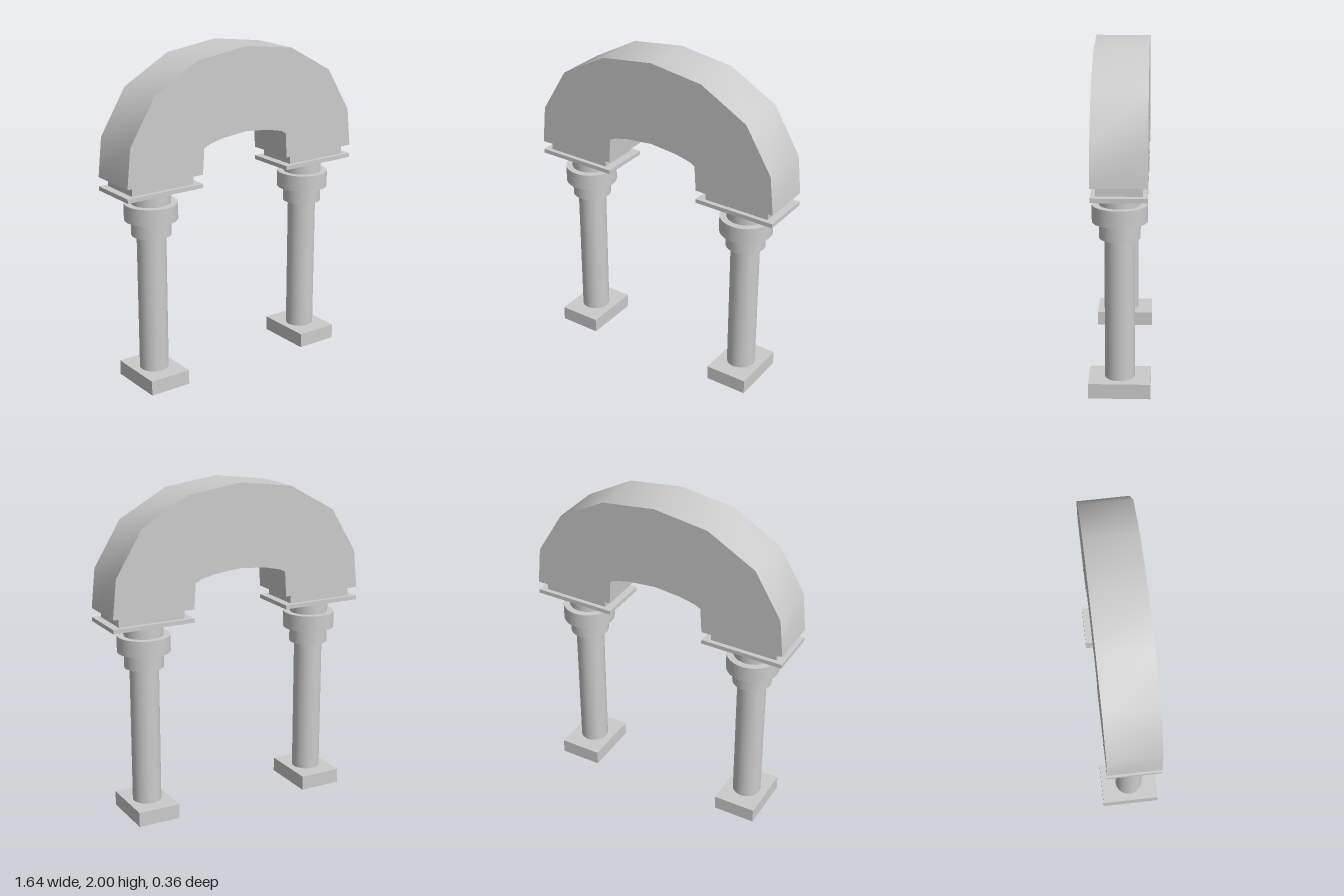
import * as THREE from 'three';
import { toCreasedNormals } from 'three/addons/utils/BufferGeometryUtils.js';

const material = new THREE.MeshStandardMaterial({ color: 0xcccccc });

function part(name, geometry, x, y, z = 0) {
  const mesh = new THREE.Mesh(geometry, material);
  mesh.name = name;
  mesh.position.set(x, y, z);
  return mesh;
}

function box(name, width, depth, bottom, top, x, z = 0) {
  return part(name, new THREE.BoxGeometry(width, top - bottom, depth), x, (bottom + top) / 2, z);
}

function drum(name, radius, bottom, top, x) {
  return part(name, new THREE.CylinderGeometry(radius, radius, top - bottom, 32), x, (bottom + top) / 2);
}

// Faceted arch: half profiles run from the crown down to the right foot
function createArch() {
  const outer = [[0, 2], [0.335, 1.955], [0.63, 1.79], [0.795, 1.52], [0.82, 1.285]];
  const inner = [[0.31, 1.285], [0.3, 1.44], [0.265, 1.458], [0.17, 1.48], [0, 1.497]];
  const half = [...outer, ...inner];
  const mirrored = half.slice(1, -1).reverse().map(([x, y]) => [-x, y]);
  const shape = new THREE.Shape([...half, ...mirrored].map(([x, y]) => new THREE.Vector2(x, y)));
  const depth = 0.315;
  const geometry = new THREE.ExtrudeGeometry(shape, { depth, bevelEnabled: false });
  geometry.translate(0, 0, -depth / 2);
  return part('arch', toCreasedNormals(geometry, 0.6), 0, 0, -0.002);
}

// Column with base, shaft, capital and the slabs carrying the arch
function createColumn(name, x, side) {
  const column = new THREE.Group();
  column.name = name;
  column.add(
    box('base', 0.264, 0.36, 0, 0.09, x),
    drum('shaft', 0.087, 0.09, 0.935, x),
    drum('neck', 0.118, 0.935, 1.205, x),
    drum('collar', 0.158, 1.03, 1.13, x),
    box('plate', 0.51, 0.315, 1.205, 1.23, side * 0.565, -0.002),
    box('bearingBlock', 0.415, 0.26, 1.23, 1.285, side * 0.567, -0.002),
  );
  return column;
}

export function createModel() {
  const model = new THREE.Group();
  model.name = 'archOnColumns';
  model.add(
    createArch(),
    createColumn('leftColumn', 0.564, 1),
    createColumn('rightColumn', -0.572, -1),
  );
  return model;
}
